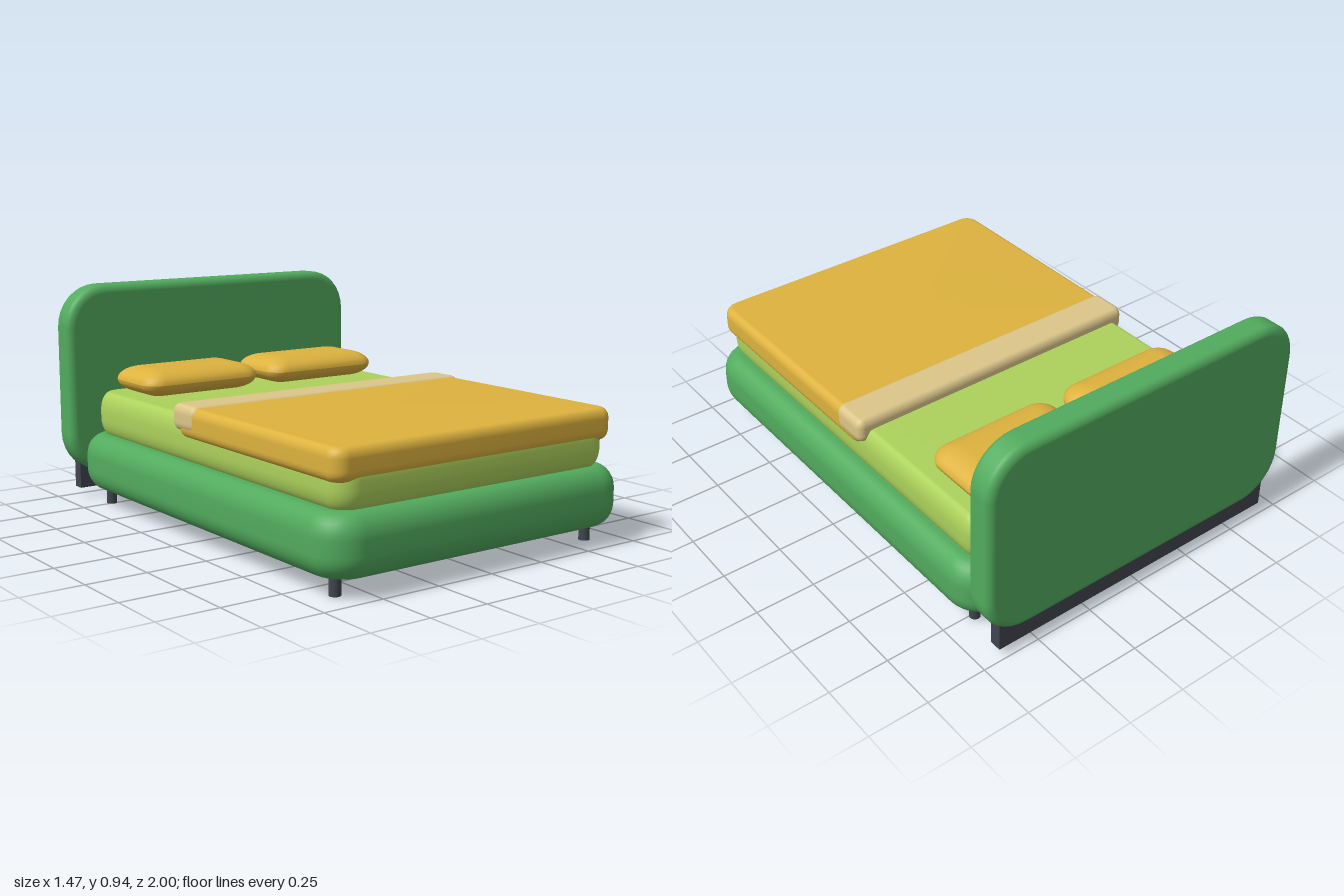
import * as THREE from 'three';

const paint = (name, color) => {
  const m = new THREE.MeshStandardMaterial({ color });
  m.name = name;
  return m;
};

// Upholstered slab: stacked rounded-rectangle rings with elliptical edges.
// corner = plan corner radius, ex / ey = horizontal / vertical size of the edge rounding
function cushion(w, h, d, corner, ex, ey) {
  const pos = [], idx = [], perCorner = 8, steps = 7;
  const profile = [];
  for (let i = 0; i <= steps; i++) {
    const t = (i / steps) * Math.PI / 2;
    profile.push([ex * (1 - Math.sin(t)), -h / 2 + ey * (1 - Math.cos(t))]);
  }
  for (let i = steps; i >= 0; i--) profile.push([profile[i][0], -profile[i][1]]);

  for (const [inset, y] of profile) {
    const hw = w / 2 - inset, hd = d / 2 - inset, r = Math.max(corner - inset * 0.7, 0.02);
    for (let q = 0; q < 4; q++) {
      const sx = q === 0 || q === 3 ? 1 : -1, sz = q < 2 ? 1 : -1;
      for (let k = 0; k <= perCorner; k++) {
        const a = (q + k / perCorner) * Math.PI / 2;
        pos.push(sx * (hw - r) + r * Math.cos(a), y, sz * (hd - r) + r * Math.sin(a));
      }
    }
  }
  const n = 4 * (perCorner + 1), rings = profile.length;
  for (let j = 0; j < rings - 1; j++) {
    for (let i = 0; i < n; i++) {
      const a = j * n + i, b = j * n + (i + 1) % n;
      idx.push(a, a + n, b, b, a + n, b + n);
    }
  }
  // Flat caps
  const bottom = pos.length / 3, top = bottom + 1, last = (rings - 1) * n;
  pos.push(0, -h / 2, 0, 0, h / 2, 0);
  for (let i = 0; i < n; i++) {
    const k = (i + 1) % n;
    idx.push(bottom, i, k, top, last + k, last + i);
  }
  const g = new THREE.BufferGeometry();
  g.setAttribute('position', new THREE.Float32BufferAttribute(pos, 3));
  g.setIndex(idx);
  g.computeVertexNormals();
  return g;
}

export function createModel() {
  const bed = new THREE.Group();
  bed.name = 'bed';
  const green = paint('green upholstery', 0x52ab5e);
  const lime = paint('lime sheet', 0xadd25c);
  const yellow = paint('yellow bedding', 0xddb23e);
  const beige = paint('beige fold', 0xdcc68a);
  const dark = paint('dark feet', 0x41444f);

  const add = (name, geometry, material, x, y, z) => {
    const m = new THREE.Mesh(geometry, material);
    m.name = name;
    m.position.set(x, y, z);
    bed.add(m);
    return m;
  };

  // Base and headboard
  add('baseFrame', cushion(1.43, 0.24, 1.88, 0.14, 0.07, 0.09), green, 0, 0.19, 0.06);
  add('headboard', cushion(1.47, 0.12, 0.825, 0.18, 0.035, 0.03).rotateX(Math.PI / 2),
    green, 0, 0.5225, -0.94);
  add('headboardPlinth', new THREE.BoxGeometry(1.34, 0.12, 0.05), dark, 0, 0.1, -0.96);

  // Mattress and bedding
  add('mattress', cushion(1.3, 0.19, 1.78, 0.09, 0.04, 0.08), lime, 0, 0.395, 0.06);
  add('duvet', cushion(1.34, 0.125, 1.06, 0.06, 0.03, 0.04), yellow, 0, 0.4725, 0.425);
  add('duvetFold', cushion(1.35, 0.105, 0.165, 0.03, 0.025, 0.035), beige, 0, 0.4885, -0.0375);

  // Pillows and legs, mirrored
  for (const s of [1, -1]) {
    const side = s > 0 ? 'left' : 'right';
    add(side + 'Pillow', cushion(0.56, 0.115, 0.34, 0.08, 0.11, 0.0575), yellow, s * 0.31, 0.547, -0.608);
    for (const [end, z] of [['Front', 0.87], ['Back', -0.76]]) {
      add(side + end + 'Leg', new THREE.CylinderGeometry(0.022, 0.022, 0.1, 20), dark, s * 0.61, 0.05, z);
    }
  }
  return bed;
}
